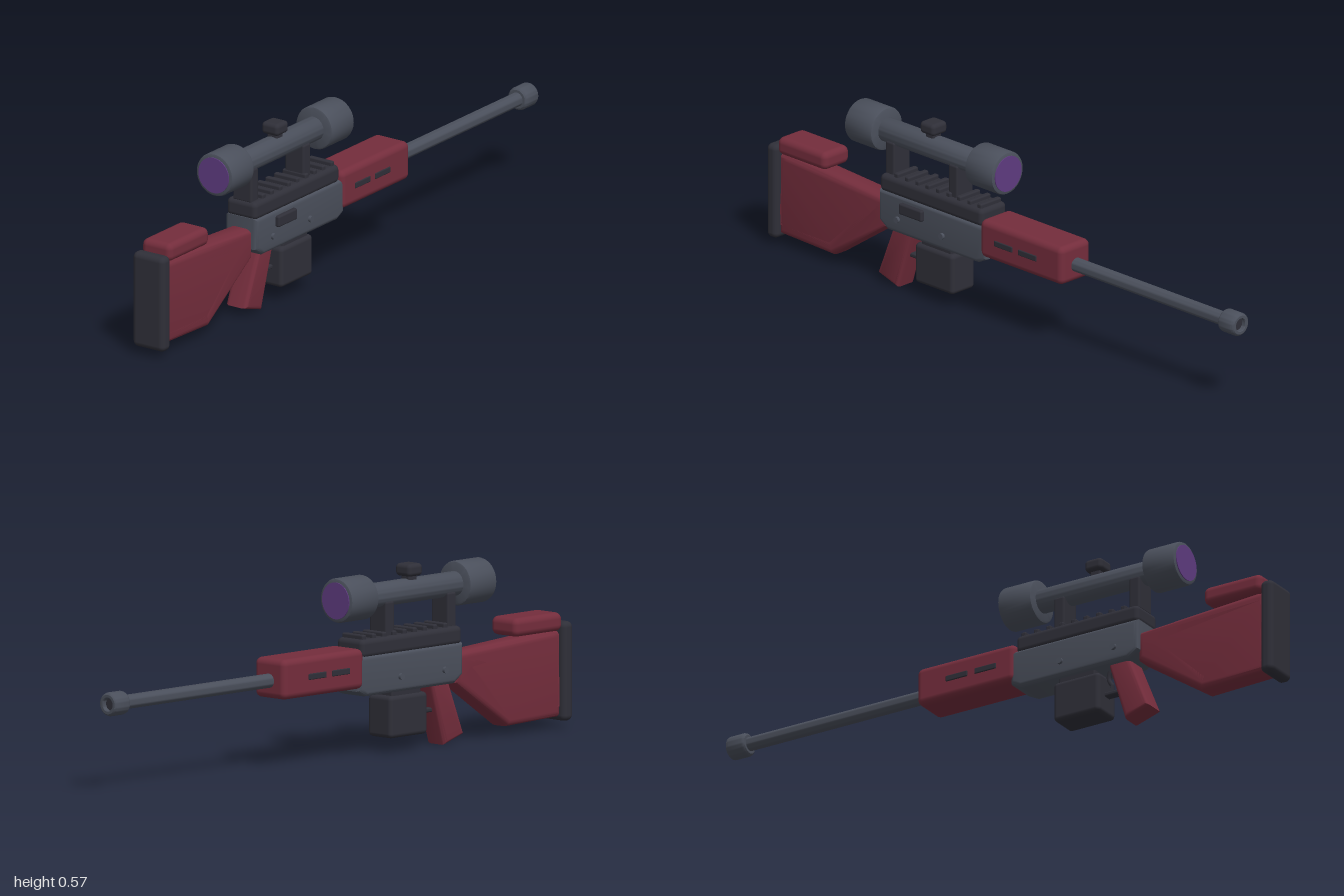
import * as THREE from 'three';
import { toCreasedNormals } from 'three/addons/utils/BufferGeometryUtils.js';
import { RoundedBoxGeometry } from 'three/addons/geometries/RoundedBoxGeometry.js';

const mat = (name, color) => {
  const m = new THREE.MeshStandardMaterial({ color });
  m.name = name;
  return m;
};

export function createModel() {
  const root = new THREE.Group();
  root.name = 'scopedRifle';
  const body = new THREE.Group();
  body.name = 'body';
  body.position.x = -0.003;
  root.add(body);

  const red = mat('dark red', 0x742d3c);
  const steel = mat('blue grey steel', 0x4a4f5b);
  const dark = mat('charcoal', 0x2f2f38);
  const lens = mat('purple lens', 0x5f3b80);

  const add = (name, geo, material) => {
    const mesh = new THREE.Mesh(geo, material);
    mesh.name = name;
    body.add(mesh);
    return mesh;
  };

  // Rounded box given by its extents: width, [y0, y1], [z0, z1]
  const box = (name, material, w, [y0, y1], [z0, z1], r = 0.008, x = 0) => {
    const mesh = add(name, new RoundedBoxGeometry(w, y1 - y0, z1 - z0, 3, r), material);
    mesh.position.set(x, (y0 + y1) / 2, (z0 + z1) / 2);
    return mesh;
  };

  // Side profile in (z, y), extruded across x with rounded edges
  const profile = (name, material, pts, w, bevel, hole) => {
    const toV = (p) => p.map(([z, y]) => new THREE.Vector2(z, y));
    const shape = new THREE.Shape(toV(pts));
    if (hole) shape.holes.push(new THREE.Path(toV(hole)));
    const depth = w - 2 * bevel;
    const geo = new THREE.ExtrudeGeometry(shape, {
      depth, bevelEnabled: true, bevelThickness: bevel, bevelSize: bevel,
      bevelOffset: -bevel, bevelSegments: 4,
    });
    geo.translate(0, 0, -depth / 2);
    geo.rotateY(-Math.PI / 2);
    return add(name, toCreasedNormals(geo, 0.65), material);
  };

  // Turned part along z, from points [radius, z] listed from back (-z) to front
  const turned = (name, material, pts, y) => {
    const geo = new THREE.LatheGeometry(pts.map(([r, z]) => new THREE.Vector2(r, z)), 40);
    geo.rotateX(Math.PI / 2);
    const mesh = add(name, toCreasedNormals(geo, 0.6), material);
    mesh.position.y = y;
    return mesh;
  };
  const drum = (r, z0, z1, c) => [
    [0, z0], [r - c, z0], [r - c * 0.3, z0 + c * 0.3], [r, z0 + c],
    [r, z1 - c], [r - c * 0.3, z1 - c * 0.3], [r - c, z1], [0, z1],
  ];

  // Skeleton stock, cheek rest and butt pad
  profile('stockFrame', red,
    [[0.965, 0.035], [0.965, 0.3], [0.93, 0.304], [0.5, 0.278], [0.5, 0.185], [0.73, 0.028]],
    0.082, 0.02,
    [[0.928, 0.252], [0.938, 0.088], [0.75, 0.088], [0.595, 0.222]]);
  box('cheekRest', red, 0.112, [0.303, 0.361], [0.747, 0.957], 0.02);
  box('buttPad', dark, 0.12, [0.022, 0.33], [0.955, 1.0], 0.018);

  // Receiver and its rail
  profile('receiver', steel,
    [[0.512, 0.215], [0.512, 0.315], [0.05, 0.315], [0.05, 0.208], [0.085, 0.19], [0.475, 0.19]],
    0.12, 0.014);
  box('railBase', dark, 0.112, [0.308, 0.366], [0.068, 0.512], 0.016);
  for (let i = 0; i < 9; i++) {
    const z = 0.09 + i * 0.045;
    box('railTooth', dark, 0.089, [0.355, 0.379], [z - 0.009, z + 0.009], 0.005);
  }
  box('ejectionPort', dark, 0.022, [0.263, 0.299], [0.313, 0.412], 0.006, 0.062);

  // Receiver pins on both sides
  for (const s of [-1, 1]) {
    for (const z of [0.233, 0.427]) {
      const pin = add('pin', new THREE.CylinderGeometry(0.01, 0.01, 0.016, 20), steel);
      pin.rotation.z = Math.PI / 2;
      pin.position.set(s * 0.061, 0.238, z);
    }
  }

  // Grip, magazine and trigger
  profile('grip', red,
    [[0.465, 0.21], [0.538, 0.027], [0.452, 0.0], [0.388, 0.21]], 0.08, 0.014);
  box('magazine', dark, 0.1, [0.046, 0.177], [0.2, 0.366], 0.014);
  box('magazineNeck', dark, 0.08, [0.16, 0.2], [0.215, 0.345], 0.006);
  box('triggerGuard', dark, 0.03, [0.104, 0.118], [0.355, 0.425], 0.005);
  const triggerPath = new THREE.CatmullRomCurve3([
    new THREE.Vector3(0, 0.2, 0.38), new THREE.Vector3(0, 0.165, 0.372),
    new THREE.Vector3(0, 0.14, 0.385),
  ]);
  add('trigger', new THREE.TubeGeometry(triggerPath, 10, 0.007, 8), dark);

  // Handguard with slots on both sides
  box('handguard', red, 0.13, [0.217, 0.341], [-0.287, 0.07], 0.02);
  for (const s of [-1, 1]) {
    for (const z of [-0.036, -0.14]) {
      box('handguardSlot', dark, 0.008, [0.27, 0.289], [z - 0.039, z + 0.039], 0.003, s * 0.064);
    }
  }

  // Barrel and hollow muzzle
  turned('barrel', steel, [[0, -0.95], [0.022, -0.95], [0.022, -0.27], [0, -0.27]], 0.273);
  turned('muzzle', steel, [
    [0.02, -0.97], [0.02, -0.998], [0.022, -1.0], [0.03, -1.0], [0.035, -0.996], [0.037, -0.99],
    [0.037, -0.942], [0.035, -0.936], [0.03, -0.932], [0, -0.932],
  ], 0.273);
  const bore = add('bore', new THREE.CircleGeometry(0.021, 32), dark);
  bore.rotation.y = Math.PI;
  bore.position.set(0, 0.273, -0.985);

  // Scope
  const sy = 0.489;
  turned('scopeTube', steel, drum(0.038, 0.1, 0.56, 0.002), sy);
  for (const [z0, z1, face, dir] of [[0.01, 0.13, 0.01, -1], [0.533, 0.651, 0.651, 1]]) {
    turned('scopeBell', steel, drum(0.069, z0, z1, 0.008), sy);
    const glass = add('scopeLens', new THREE.CylinderGeometry(0.057, 0.057, 0.004, 40), lens);
    glass.rotation.x = Math.PI / 2;
    glass.position.set(0, sy, face + dir * 0.001);
  }
  for (const z of [0.213, 0.486]) {
    box('scopeMount', dark, 0.072, [0.36, 0.47], [z - 0.019, z + 0.019], 0.007);
  }
  box('turretStem', dark, 0.036, [0.51, 0.545], [0.314, 0.35], 0.006);
  box('turretKnob', dark, 0.064, [0.534, 0.573], [0.301, 0.363], 0.013);

  return root;
}
